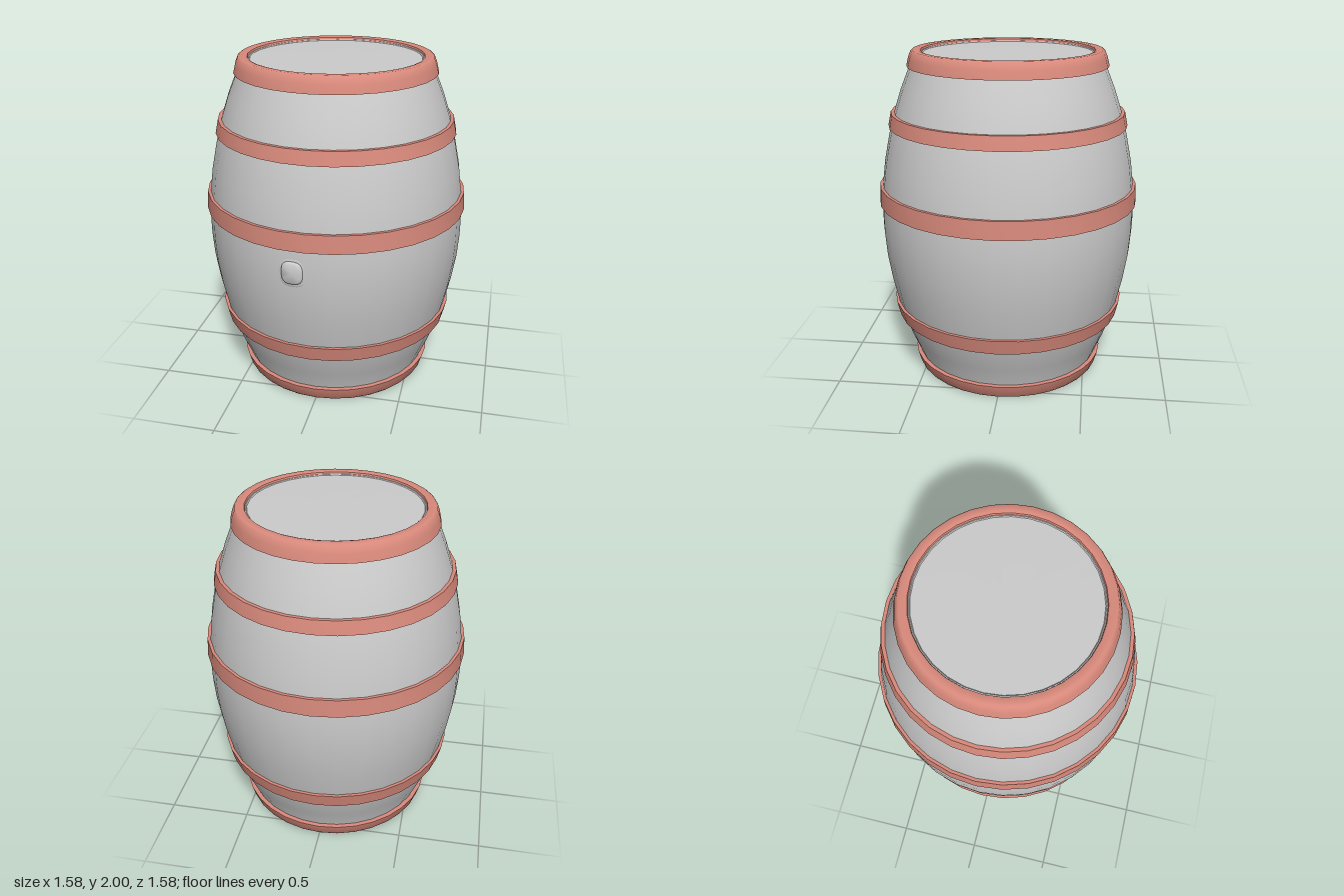
import * as THREE from 'three';
import { toCreasedNormals } from 'three/addons/utils/BufferGeometryUtils.js';

const SIDES = 32;
const wood = new THREE.MeshStandardMaterial({ color: 0xcccccc });
const metal = new THREE.MeshStandardMaterial({ color: 0xd98a7c });

// Revolve [radius, height] pairs, listed upwards along the outside
function turned(name, profile, material, crease = 0.7, sides = SIDES) {
  const points = profile.map(([r, y]) => new THREE.Vector2(r, y));
  const geometry = toCreasedNormals(new THREE.LatheGeometry(points, sides), crease);
  const mesh = new THREE.Mesh(geometry, material);
  mesh.name = name;
  return mesh;
}

export function createModel() {
  const barrel = new THREE.Group();
  barrel.name = 'barrel';

  // Staves with the flat base and the slightly sunken lid
  barrel.add(turned('body', [
    [0, 0.002], [0.555, 0.002], [0.575, 0.09], [0.625, 0.21], [0.68, 0.36], [0.705, 0.46],
    [0.74, 0.62], [0.765, 0.78], [0.775, 0.92], [0.776, 1.0], [0.774, 1.1], [0.766, 1.2],
    [0.748, 1.34], [0.715, 1.5], [0.68, 1.635], [0.635, 1.77], [0.578, 1.91], [0.545, 1.985],
    [0.505, 1.985], [0.5, 1.98], [0, 1.985],
  ], wood));

  // Hoops: bottom height, top height, outer radius at bottom and at top
  const hoops = [
    ['lowerHoop', 0.362, 0.455, 0.7, 0.722],
    ['middleHoop', 1.09, 1.197, 0.79, 0.784],
    ['upperHoop', 1.557, 1.637, 0.717, 0.7],
  ];
  for (const [name, y0, y1, r0, r1] of hoops) {
    const inner = Math.min(r0, r1) - 0.05;
    barrel.add(turned(name, [
      [inner, y0], [r0, y0], [r1, y1], [inner, y1], [inner, y0],
    ], metal));
  }

  // End hoops fold over the rims
  barrel.add(turned('bottomHoop', [
    [0.54, 0], [0.567, 0], [0.58, 0.015], [0.6, 0.084], [0.55, 0.086],
  ], metal));
  barrel.add(turned('topHoop', [
    [0.55, 1.905], [0.597, 1.906], [0.585, 1.955], [0.57, 1.993], [0.56, 2],
    [0.528, 2], [0.514, 1.996], [0.508, 1.978],
  ], metal));

  // Bung: a soft rounded square plug in a shallow collar
  const bung = turned('bung', [
    [0.09, -0.008], [0.075, 0.003], [0.066, 0.002], [0.062, 0.011], [0.054, 0.016], [0, 0.017],
  ], wood, 1.2, 24);
  const position = bung.geometry.attributes.position;
  for (let i = 0; i < position.count; i++) {
    const x = position.getX(i), z = position.getZ(i);
    const r = Math.hypot(x, z);
    if (r === 0) continue;
    const square = r / Math.pow(Math.abs(x) ** 3 + Math.abs(z) ** 3, 1 / 3);
    position.setXYZ(i, x * square * 0.95, position.getY(i), z * square * 1.04);
  }
  bung.geometry = toCreasedNormals(bung.geometry, 1.2);
  bung.rotation.x = Math.PI / 2;
  bung.position.set(0, 0.953, 0.771);
  const bungMount = new THREE.Group();
  bungMount.name = 'bungMount';
  bungMount.rotation.y = -Math.PI / SIDES;
  bungMount.add(bung);
  barrel.add(bungMount);

  return barrel;
}
